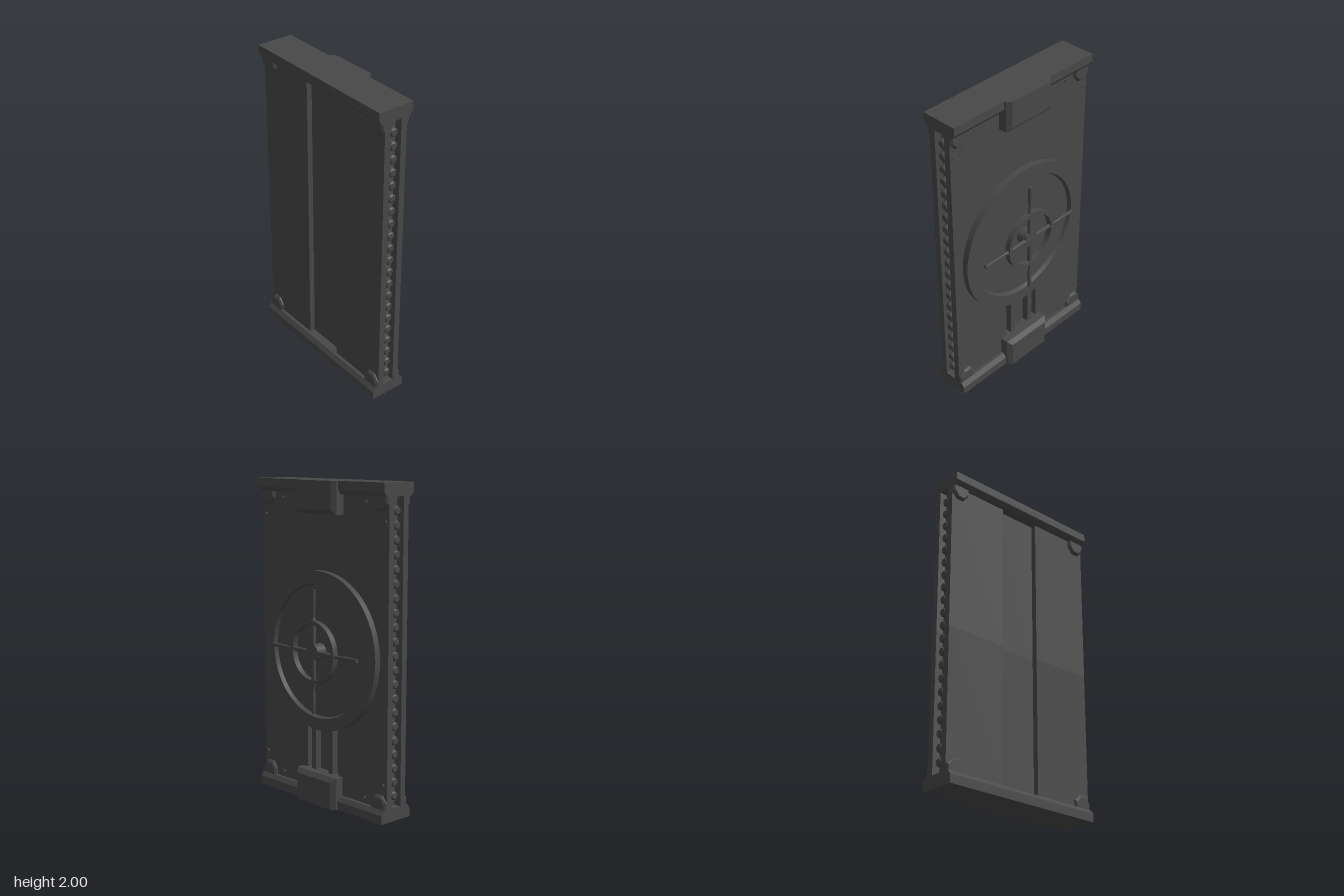
import * as THREE from 'three';
import { ConvexGeometry } from 'three/addons/geometries/ConvexGeometry.js';
import { toCreasedNormals } from 'three/addons/utils/BufferGeometryUtils.js';

const shapeOf = (pts) => new THREE.Shape(pts.map(([a, b]) => new THREE.Vector2(a, b)));
const lathe = (pts, seg) =>
  toCreasedNormals(new THREE.LatheGeometry(pts.map(([r, h]) => new THREE.Vector2(r, h)), seg), 0.6);

export function createModel() {
  const steel = new THREE.MeshStandardMaterial({ color: 0x484848 });
  steel.name = 'dark steel';
  const model = new THREE.Group();
  model.name = 'vaultDoor';
  const add = (name, geometry, parent = model) => {
    const mesh = new THREE.Mesh(geometry, steel);
    mesh.name = name;
    parent.add(mesh);
    return mesh;
  };

  const W = 0.56, FRONT = 0.05, BACK = -0.105, CY = 0.963;

  // Door slab: plan section with a channel on each edge and a groove in the back
  const slab = (name, y0, y1, grooved) => {
    const half = [[BACK, W], [-0.065, W], [-0.065, 0.51], [0.01, 0.51], [0.01, W], [FRONT, W]];
    const groove = grooved
      ? [[FRONT, 0.142], [0.015, 0.142], [0.015, -0.142], [FRONT, -0.142]] : [];
    const section = [
      ...half, ...groove, ...half.map(([x, z]) => [x, -z]).reverse(),
      [BACK, -0.14], [-0.07, -0.14], [-0.07, 0.14], [BACK, 0.14],
    ];
    const g = new THREE.ExtrudeGeometry(shapeOf(section), { depth: y1 - y0, bevelEnabled: false });
    g.rotateX(-Math.PI / 2);
    g.translate(0, y0, 0);
    add(name, g);
  };
  slab('lowerSlab', 0.04, CY, true);
  slab('upperSlab', CY, 1.96, false);

  // Guide rails in the front groove
  for (const s of [-1, 1]) {
    const rail = add('guideRail', new THREE.BoxGeometry(0.045, 0.6, 0.038));
    rail.position.set(0.034, 0.35, s * 0.077);
  }

  // Everything at the foot is mirrored at the head
  for (const top of [false, true]) {
    const Y = (y) => (top ? 2 - y : y);
    const end = top ? 'top' : 'bottom';

    // Sill with sloping shoulders
    const sill = [[-0.147, 0], [0.092, 0], [0.092, 0.053], [0.07, 0.08], [-0.125, 0.08], [-0.147, 0.053]];
    const sg = new THREE.ExtrudeGeometry(shapeOf(sill.map(([x, y]) => [x, Y(y)])),
      { depth: 2 * W, bevelEnabled: false });
    sg.translate(0, 0, -W);
    add(end + 'Sill', sg);

    // Chamfered lock housing
    const pts = [];
    for (const s of [-1, 1]) {
      for (const [x, y, z] of [
        [0, 0, 0.18], [0.104, 0, 0.18], [0.129, 0, 0.153],
        [0, 0.198, 0.18], [0.104, 0.198, 0.18], [0.129, 0.171, 0.153],
      ]) pts.push(new THREE.Vector3(x, Y(y), s * z));
    }
    add(end + 'LockHousing', new ConvexGeometry(pts));

    for (const s of [-1, 1]) {
      // Faceted corner brackets on both faces
      const outline = [[0.56, 0.06], [0.56, 0.125], [0.525, 0.163], [0.475, 0.163], [0.44, 0.125], [0.44, 0.06]];
      for (const [x0, x1] of [[0.03, 0.07], [-0.085, -0.125]]) {
        const corner = [];
        for (const [z, y] of outline) {
          const zi = 0.5 + (z - 0.5) * 0.85;
          corner.push(new THREE.Vector3(x0, Y(y), s * z));
          corner.push(new THREE.Vector3(x0 + (x1 - x0) * 0.7, Y(y), s * z));
          corner.push(new THREE.Vector3(x1, Y(y - (y > 0.1 ? 0.014 : 0)), s * zi));
        }
        add('cornerBracket', new ConvexGeometry(corner));
      }
      // Small rivets
      for (const [y, z] of [[0.115, 0.37], [0.225, 0.53]]) {
        const rivet = add('rivet', new THREE.CylinderGeometry(0.011, 0.011, 0.02, 10));
        rivet.rotation.z = -Math.PI / 2;
        rivet.position.set(0.048, Y(y), s * z);
      }
    }
  }

  // Locking bolts along both edges
  const boltGeo = lathe([[0.027, 0], [0.027, 0.034], [0.02, 0.043], [0, 0.045]], 16);
  for (const s of [-1, 1]) {
    for (let i = 0; i < 21; i++) {
      const bolt = add('lockingBolt', boltGeo);
      bolt.rotation.x = s * Math.PI / 2;
      bolt.position.set(-0.028, 0.15 + i * 0.0845, s * 0.508);
    }
  }

  // Round hatch and hand wheel, turned about the x axis
  const hatch = new THREE.Group();
  hatch.name = 'hatch';
  hatch.position.y = CY;
  hatch.rotation.z = -Math.PI / 2;
  model.add(hatch);
  add('hatchPlate', lathe([[0.495, 0.03], [0.495, 0.09], [0.418, 0.09], [0.408, 0.065], [0, 0.065]], 64), hatch);
  add('hub', lathe([[0.05, 0.06], [0.05, 0.138], [0, 0.138]], 24), hatch);
  add('wheelRim', lathe([[0.172, 0.108], [0.196, 0.108], [0.196, 0.145], [0.172, 0.145], [0.172, 0.108]], 48), hatch);
  const spokeGeo = lathe([
    [0.015, 0], [0.015, 0.2], [0.009, 0.215], [0.009, 0.25], [0.0125, 0.27], [0.0125, 0.382], [0, 0.382],
  ], 12);
  for (let i = 0; i < 4; i++) {
    const arm = new THREE.Group();
    arm.name = 'spokeArm';
    arm.position.y = 0.126;
    arm.rotation.y = i * Math.PI / 2;
    hatch.add(arm);
    add('spoke', spokeGeo, arm).rotation.x = Math.PI / 2;
  }
  return model;
}
